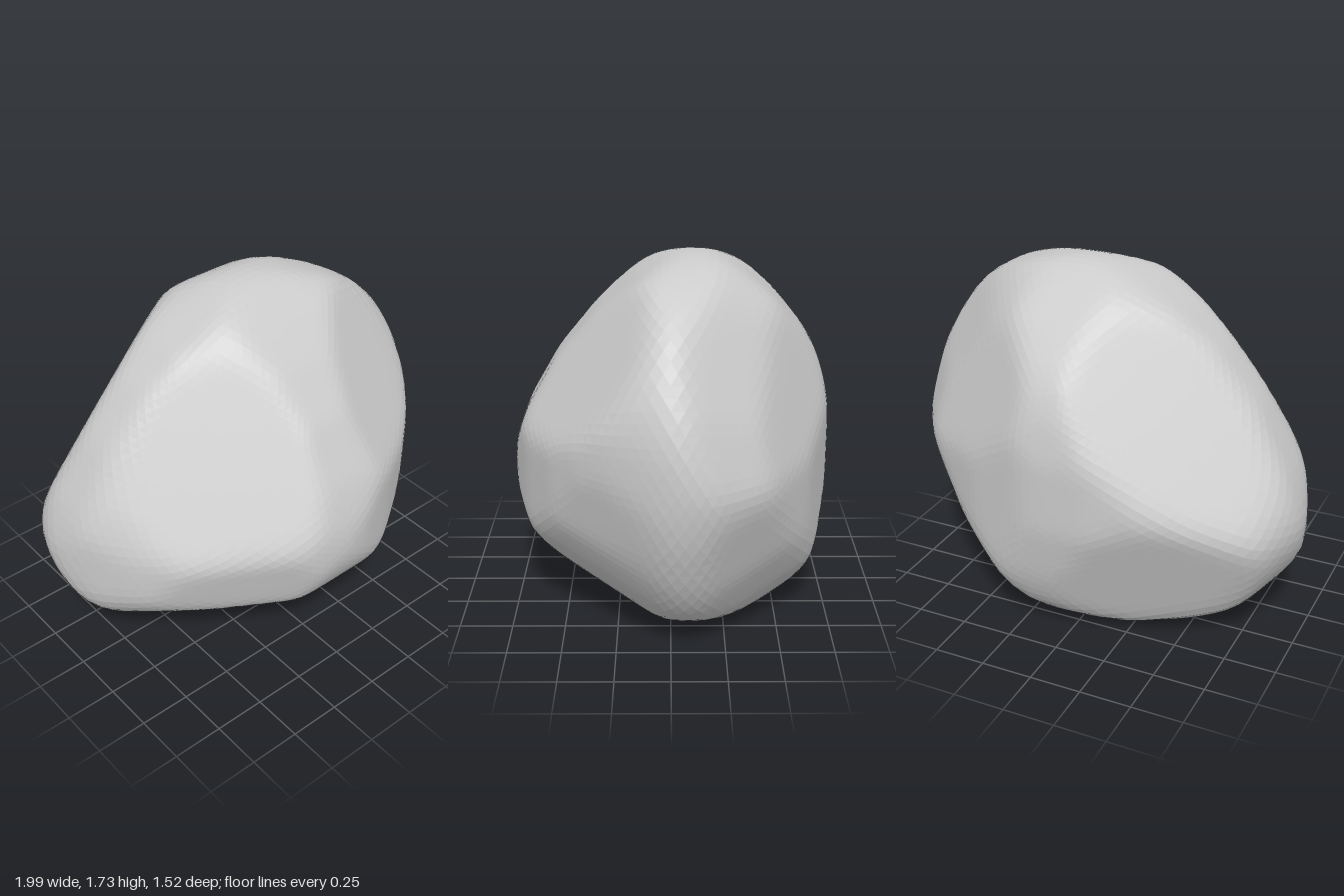
import * as THREE from 'three';
import { mergeVertices } from 'three/addons/utils/BufferGeometryUtils.js';

const V = (x, y, z) => new THREE.Vector3(x, y, z);

// Rounded profiles about the boulder's middle: turn, tilt (degrees), then across/up pairs
const profiles = [
  [0, 0, 0.1, 0.865, -0.43, 0.635, -0.87, 0.085, -1.01, -0.385, -0.73, -0.715, 0.2, -0.865, 0.75, -0.695, 1.01, 0.1, 0.76, 0.625],
  [90, 0, 0.13, 0.87, -0.4, 0.535, -0.76, -0.195, -0.5, -0.635, 0, -0.835, 0.4, -0.862, 0.63, -0.725, 0.76, -0.065, 0.65, 0.455],
  [0, 90, -1.01, 0.2, -0.87, 0.5, -0.28, 0.73, 0.13, 0.76, 0.88, 0.38, 1.01, 0.08, 0.7, -0.45, 0, -0.76, -0.6, -0.48],
  [30, 20, 0.1, 0.86, 0.48, 0.74, 0.8, 0.25, 0.96, -0.18, 0.82, -0.65, 0.35, -0.885, -0.71, -0.46, -0.87, -0.13, -0.52, 0.565],
  [210, 20, -0.3, 0.84, 0.19, 0.74, 0.87, -0.39, 0.73, -0.73, 0.11, -1, -0.51, -0.84, -0.85, -0.3, -0.96, 0.2, -0.69, 0.74],
  [150, -20, -0.12, 0.93, 0.31, 0.78, 0.87, 0.07, 0.99, -0.35, 0.65, -0.8, -0.43, -0.73, -0.82, -0.2, -0.84, 0.43, -0.57, 0.8],
];

// Broad worn faces: normal and distance from the middle
const faces = [
  [-0.55, 0.47, 0.69, 0.57],  // upper front, right-hand side
  [0.4, 0.52, 0.755, 0.68],   // upper front, left-hand side
  [-0.53, -0.24, 0.81, 0.74], // lower front
  [0.78, -0.22, 0.58, 0.83],  // left flank
  [-0.51, 0.45, -0.73, 0.69], // upper back, right-hand side
  [0.5, 0.3, -0.81, 0.76],    // upper back, left-hand side
  [-0.3, -0.35, -0.88, 0.81], // lower back
];

// Planes that touch a profile all the way round
function profilePlanes([turn, tilt, ...pairs]) {
  const view = new THREE.Euler(THREE.MathUtils.degToRad(-tilt), THREE.MathUtils.degToRad(turn), 0, 'YXZ');
  const corners = [];
  for (let k = 0; k < pairs.length; k += 2) corners.push(V(pairs[k], pairs[k + 1], 0));
  const outline = new THREE.CatmullRomCurve3(corners, true).getPoints(60);
  const planes = [];
  for (let i = 0; i < 36; i++) {
    const t = (i / 36) * Math.PI * 2;
    const n = V(Math.cos(t), Math.sin(t), 0);
    const d = Math.max(...outline.map((p) => p.dot(n)));
    planes.push({ n: n.applyEuler(view), d });
  }
  return planes;
}

// Averages each vertex with its neighbours to wear down the edges
function wearEdges(geo, passes) {
  const pos = geo.attributes.position, idx = geo.index.array;
  for (let pass = 0; pass < passes; pass++) {
    const old = [], sum = [], count = [];
    for (let i = 0; i < pos.count; i++) {
      old.push(V(0, 0, 0).fromBufferAttribute(pos, i));
      sum.push(V(0, 0, 0));
      count.push(0);
    }
    for (let i = 0; i < idx.length; i++) {
      const next = i % 3 === 2 ? i - 2 : i + 1;
      sum[idx[i]].add(old[idx[next]]);
      count[idx[i]]++;
    }
    old.forEach((p, i) => {
      p.lerp(sum[i].divideScalar(count[i]), 0.5);
      pos.setXYZ(i, p.x, p.y, p.z);
    });
  }
}

// A fine ball whose vertices are moved to the nearest cutting plane
function boulderGeometry() {
  const ball = new THREE.IcosahedronGeometry(1, 20);
  ball.deleteAttribute('normal');
  ball.deleteAttribute('uv');
  const geo = mergeVertices(ball, 1e-4);
  const planes = profiles.flatMap(profilePlanes);
  for (const [x, y, z, d] of faces) planes.push({ n: V(x, y, z).normalize(), d });

  const pos = geo.attributes.position, dir = V(0, 0, 0);
  for (let i = 0; i < pos.count; i++) {
    dir.fromBufferAttribute(pos, i).normalize();
    let r = Infinity;
    for (const { n, d } of planes) {
      const facing = n.dot(dir);
      if (facing > 1e-3) r = Math.min(r, d / facing);
    }
    dir.multiplyScalar(r);
    pos.setXYZ(i, dir.x, dir.y, dir.z);
  }
  wearEdges(geo, 4);

  // Centre it and stand it on the ground
  geo.center();
  geo.computeBoundingBox();
  geo.translate(0, -geo.boundingBox.min.y, 0);
  geo.computeVertexNormals();
  return geo;
}

export function createModel() {
  const material = new THREE.MeshStandardMaterial({ color: 0xcccccc, flatShading: true });
  const boulder = new THREE.Mesh(boulderGeometry(), material);
  boulder.name = 'boulder';
  const group = new THREE.Group();
  group.name = 'rock';
  group.add(boulder);
  return group;
}
